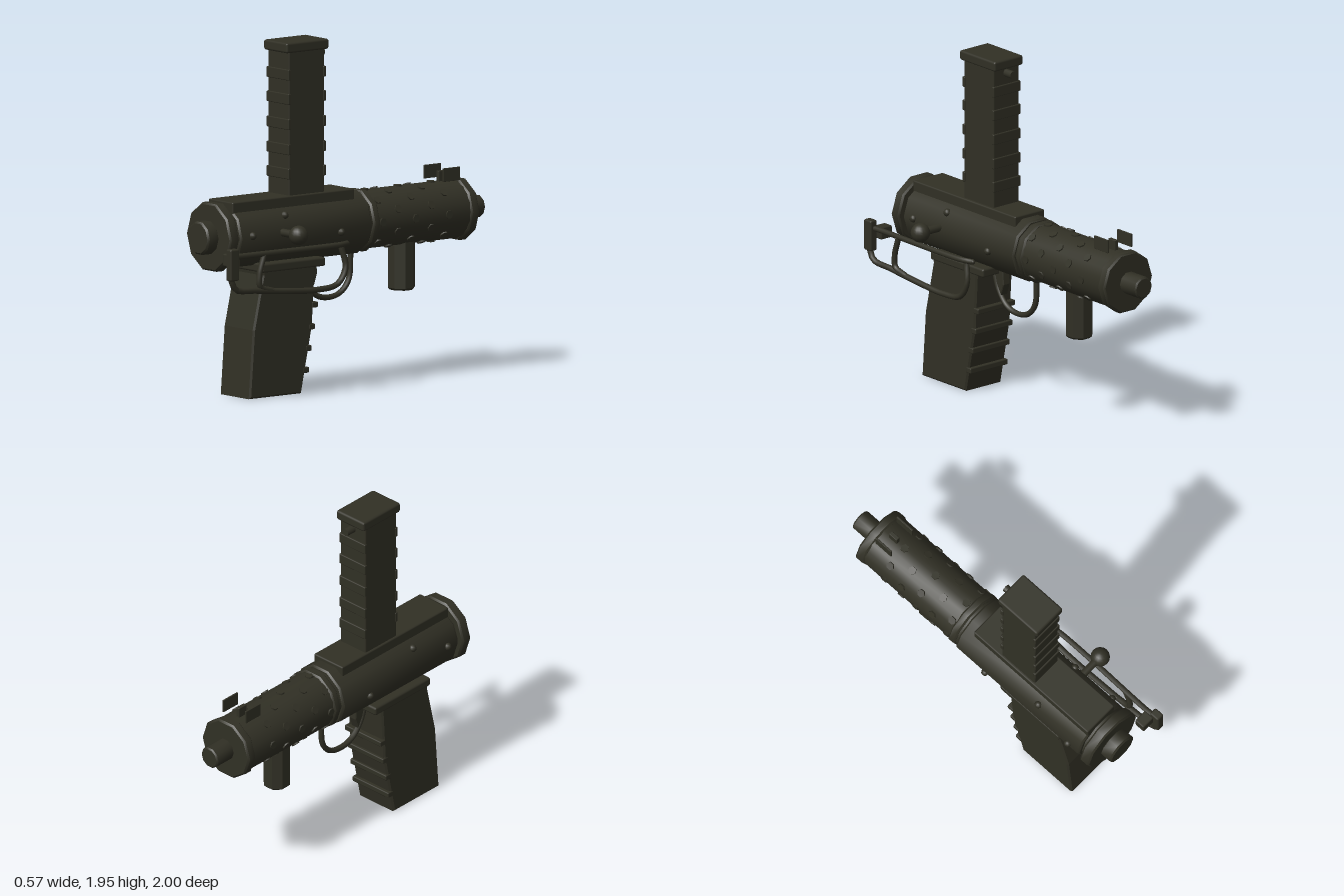
import * as THREE from 'three';
import { toCreasedNormals } from 'three/addons/utils/BufferGeometryUtils.js';
import { RoundedBoxGeometry } from 'three/addons/geometries/RoundedBoxGeometry.js';

const CX = -0.083, CY = 0.905; // main body axis

export function createModel() {
  const model = new THREE.Group();
  const olive = new THREE.MeshStandardMaterial({ color: 0x313025 });
  olive.name = 'darkOlive';

  const add = (name, geo, x = 0, y = 0, z = 0) => {
    const mesh = new THREE.Mesh(geo, olive);
    mesh.name = name;
    mesh.position.set(x, y, z);
    model.add(mesh);
    return mesh;
  };

  // bevelled drum along z on the main axis
  const drum = (name, z0, z1, r, bevel = 0.01, sides = 10) => {
    const profile = [[0, z0], [r - bevel, z0], [r, z0 + bevel], [r, z1 - bevel], [r - bevel, z1], [0, z1]]
      .map(([a, b]) => new THREE.Vector2(a, b));
    const geo = new THREE.LatheGeometry(profile, sides, Math.PI / 2).rotateX(Math.PI / 2);
    return add(name, toCreasedNormals(geo, 0.7), CX, CY);
  };

  // softened box given by its limits
  const block = (name, x0, x1, y0, y1, z0, z1, r = 0.008) =>
    add(name, new RoundedBoxGeometry(x1 - x0, y1 - y0, z1 - z0, 1, r),
      (x0 + x1) / 2, (y0 + y1) / 2, (z0 + z1) / 2);

  // bent rod through [x, y, z] points
  const rod = (name, points, r) => {
    const curve = new THREE.CatmullRomCurve3(points.map(p => new THREE.Vector3(...p)), false, 'centripetal');
    add(name, new THREE.TubeGeometry(curve, 32, r, 8), 0, 0, 0);
    for (const p of [points[0], points[points.length - 1]])
      add(name + 'End', new THREE.SphereGeometry(r, 8, 6), ...p);
  };

  // side outline [z, y] extruded across x
  const slab = (name, outline, x0, x1, bevel) => {
    const shape = new THREE.Shape(outline.map(([z, y]) => new THREE.Vector2(-z, y)));
    const geo = new THREE.ExtrudeGeometry(shape, {
      depth: x1 - x0 - 2 * bevel, bevelEnabled: true, bevelThickness: bevel,
      bevelSize: bevel, bevelOffset: -bevel, bevelSegments: 1,
    });
    geo.rotateY(Math.PI / 2);
    add(name, geo, x0 + bevel, 0, 0);
  };

  // body and barrel
  drum('barrel', -1.0, -0.85, 0.063, 0.008);
  drum('shroudFrontCap', -0.87, -0.81, 0.178);
  drum('shroud', -0.83, -0.15, 0.164, 0.005, 20);
  drum('shroudRearCollar', -0.172, -0.122, 0.178);
  drum('bodyNeck', -0.14, -0.09, 0.165, 0.005);
  drum('body', -0.108, 0.82, 0.183);
  drum('rearNeck', 0.81, 0.85, 0.155, 0.005);
  drum('rearPlate', 0.84, 0.906, 0.197);
  drum('rearKnob', 0.9, 0.98, 0.095);

  // staggered vent studs around the shroud
  for (let row = 0; row < 5; row++) {
    for (let i = 0; i < 8; i++) {
      const a = (i + (row % 2) / 2) * Math.PI / 4;
      const geo = new THREE.CylinderGeometry(0.024, 0.024, 0.02, 6);
      const vent = add('shroudVent', geo, CX + Math.sin(a) * 0.16, CY + Math.cos(a) * 0.16, -0.66 + row * 0.1165);
      vent.rotation.z = -a;
    }
  }

  // front sight with two thin guards
  for (const x of [-0.168, 0.002]) block('sightGuard', x - 0.005, x + 0.005, 1.075, 1.15, -0.798, -0.68, 0.002);
  block('sightPost', CX - 0.012, CX + 0.012, 1.05, 1.125, -0.77, -0.71, 0.004);

  // rivets on both sides
  for (const [y, z] of [[0.915, 0.735], [1.005, 0.485], [0.88, 0.11]]) {
    const off = Math.sqrt(0.178 ** 2 - (y - CY) ** 2);
    for (const s of [-1, 1]) add('rivet', new THREE.SphereGeometry(0.022, 10, 8), CX + s * off, y, z);
  }

  // top plate and upright box with ribs
  block('topPlate', -0.19, 0.025, 1.03, 1.1, -0.04, 0.82);
  block('uprightBox', -0.178, 0.009, 1.06, 1.92, 0.16, 0.41);
  block('uprightCap', -0.187, 0.021, 1.893, 1.95, 0.136, 0.435, 0.012);
  for (const y of [1.22, 1.355, 1.495, 1.635, 1.77])
    for (const z of [0.162, 0.408]) block('uprightRib', -0.182, 0.014, y - 0.03, y + 0.03, z - 0.01, z + 0.01, 0.005);
  const latch = new THREE.CylinderGeometry(0.022, 0.022, 0.07, 10).rotateX(Math.PI / 2);
  add('latch', latch, CX, 1.865, 0.135);

  // rear grip
  block('gripCollar', -0.226, 0.06, 0.695, 0.745, 0.19, 0.637, 0.012);
  slab('grip', [[0.63, 0.71], [0.625, 0.68], [0.692, 0.38], [0.72, 0], [0.352, 0], [0.275, 0.37], [0.255, 0.71]], -0.215, 0.05, 0.01);
  for (const [y, z] of [[0.485, 0.257], [0.365, 0.277], [0.247, 0.301], [0.127, 0.319]])
    block('gripRib', -0.218, 0.053, y - 0.016, y + 0.016, z - 0.018, z + 0.025, 0.006);

  // front grip
  const front = new THREE.LatheGeometry([[0, 0.49], [0.065, 0.49], [0.077, 0.502], [0.077, 0.8], [0, 0.8]]
    .map(p => new THREE.Vector2(...p)), 8, Math.PI / 8);
  add('frontGrip', toCreasedNormals(front, 0.5), CX, 0, -0.455);

  // trigger and its guard
  rod('triggerGuard', [[CX, 0.7, 0.26], [CX, 0.6, 0.225], [CX, 0.52, 0.16], [CX, 0.493, 0.08],
    [CX, 0.51, -0.02], [CX, 0.58, -0.083], [CX, 0.75, -0.097]], 0.016);
  slab('trigger', [[0.24, 0.74], [0.215, 0.64], [0.178, 0.575], [0.155, 0.64], [0.165, 0.74]], CX - 0.025, CX + 0.025, 0.005);

  // side handle
  add('handleStem', new THREE.CylinderGeometry(0.022, 0.022, 0.15, 10).rotateZ(Math.PI / 2), 0.145, 0.915, 0.52);
  add('handleBall', new THREE.SphereGeometry(0.054, 16, 12), 0.23, 0.915, 0.52);

  // folded side stock
  rod('stockUpperRod', [[0.18, 0.83, 0.14], [0.2, 0.83, 0.2], [0.2, 0.83, 0.9], [0.205, 0.83, 0.97]], 0.016);
  rod('stockLowerRod', [[0.205, 0.72, 0.98], [0.205, 0.65, 0.945], [0.2, 0.63, 0.8], [0.2, 0.605, 0.55], [0.2, 0.595, 0.36],
    [0.2, 0.615, 0.22], [0.2, 0.7, 0.165], [0.185, 0.82, 0.185]], 0.017);
  rod('stockBrace', [[0.2, 0.82, 0.74], [0.2, 0.72, 0.77], [0.2, 0.65, 0.765], [0.2, 0.62, 0.68]], 0.016);
  block('stockPad', 0.185, 0.232, 0.7, 0.877, 0.935, 0.998, 0.01);
  block('stockHinge', 0.11, 0.19, 0.77, 0.84, 0.895, 0.96, 0.008);

  return model;
}
